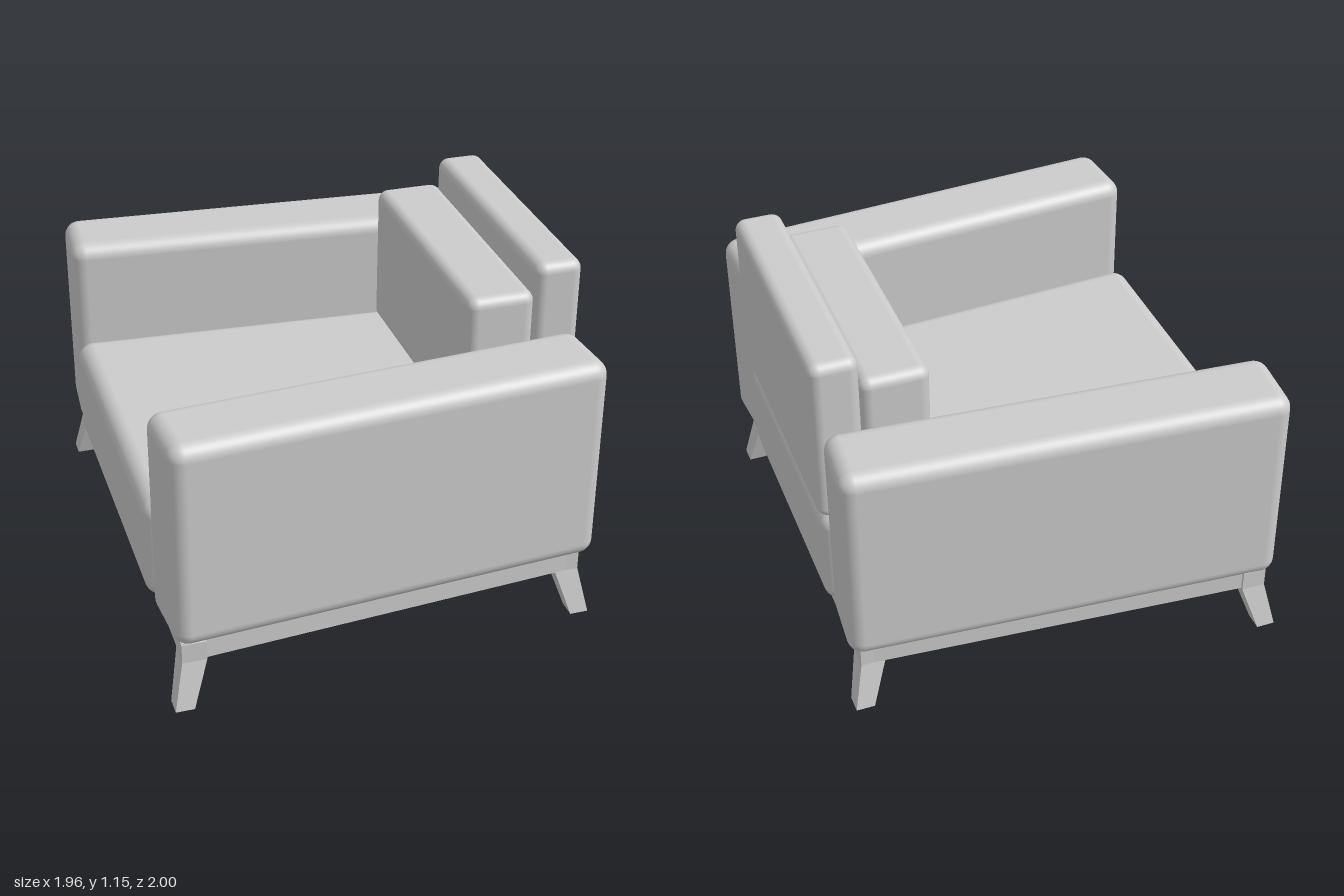
import * as THREE from 'three';
import { RoundedBoxGeometry } from 'three/addons/geometries/RoundedBoxGeometry.js';

const material = new THREE.MeshStandardMaterial({ color: 0xcccccc });
const SPLAY = 0.075; // the sides open towards the front by this angle

function add(parent, name, geometry, x = 0, y = 0, z = 0) {
  const mesh = new THREE.Mesh(geometry, material);
  mesh.name = name;
  mesh.position.set(x, y, z);
  parent.add(mesh);
  return mesh;
}

// Soft upholstered block spanning y0..y1 and z0..z1
function cushion(parent, name, width, y0, y1, z0, z1, radius, x = 0) {
  const geometry = new RoundedBoxGeometry(width, y1 - y0, z1 - z0, 5, radius);
  return add(parent, name, geometry, x, (y0 + y1) / 2, (z0 + z1) / 2);
}

// Narrow a geometry towards the back: half width h1 at z1, h0 at z0, for a unit of halfWidth
function taper(mesh, halfWidth, h0, h1, z0, z1) {
  const p = mesh.geometry.attributes.position;
  for (let i = 0; i < p.count; i++) {
    const t = (p.getZ(i) + mesh.position.z - z0) / (z1 - z0);
    p.setX(i, p.getX(i) * THREE.MathUtils.lerp(h0, h1, t) / halfWidth);
  }
}

// Frame outline, a trapezoid in plan
const FRONT = 0.62, BACK = -0.71;
const halfWidthAt = (z) => 0.66 + (z - BACK) * 0.0805;

function outline(Type, inset) {
  const zf = FRONT - inset, zb = BACK + inset;
  const f = halfWidthAt(zf) - inset, b = halfWidthAt(zb) - inset;
  return new Type([[-f, -zf], [f, -zf], [b, -zb], [-b, -zb]].map(([x, y]) => new THREE.Vector2(x, y)));
}

function slab(shape, depth) {
  return new THREE.ExtrudeGeometry(shape, { depth, bevelEnabled: false }).rotateX(-Math.PI / 2);
}

// Corner leg: upright within the frame, then splayed out and thinned to the foot
function legGeometry(sx, sz) {
  const z = sz > 0 ? FRONT : BACK;
  const hw = halfWidthAt(z);
  const levels = [
    { y: 0, out: 0.036, size: 0.06 },
    { y: 0.155, out: 0.003, size: 0.078 },
    { y: 0.222, out: 0.003, size: 0.078 },
  ];
  const geometry = new THREE.BoxGeometry(1, 1, 1, 1, 2, 1).toNonIndexed();
  const p = geometry.attributes.position;
  for (let i = 0; i < p.count; i++) {
    const { y, out, size } = levels[Math.round((p.getY(i) + 0.5) * 2)];
    const dx = p.getX(i) * sx > 0 ? out : out - size;
    const dz = p.getZ(i) * sz > 0 ? out : out - size;
    p.setXYZ(i, sx * (hw + dx), y, z + sz * dz);
  }
  geometry.computeVertexNormals();
  return geometry;
}

export function createModel() {
  const model = new THREE.Group();
  model.name = 'armchair';

  // The chair is built facing its own +z, then turned in place
  const chair = new THREE.Group();
  chair.name = 'chairBody';
  chair.rotation.y = THREE.MathUtils.degToRad(240);
  chair.position.set(-0.012, 0, 0.021);
  model.add(chair);

  // Base frame of four rails with a recessed bottom panel
  const rails = outline(THREE.Shape, 0);
  rails.holes.push(outline(THREE.Path, 0.06));
  add(chair, 'baseFrame', slab(rails, 0.07), 0, 0.155, 0);
  add(chair, 'bottomPanel', slab(outline(THREE.Shape, 0.05), 0.02), 0, 0.207, 0);

  // Legs and armrests on both sides
  for (const sx of [-1, 1]) {
    const side = sx > 0 ? 'left' : 'right';
    add(chair, side + 'FrontLeg', legGeometry(sx, 1));
    add(chair, side + 'BackLeg', legGeometry(sx, -1));
    const arm = cushion(chair, side + 'Armrest', 0.26, 0.225, 0.925, -0.747, 0.655, 0.05, sx * 0.624);
    arm.rotation.y = sx * SPLAY;
  }

  // Seat, narrowing between the arms
  const seat = cushion(chair, 'seatCushion', 1.08, 0.225, 0.582, -0.75, 0.67, 0.055);
  taper(seat, 0.54, 0.448, 0.545, -0.75, 0.67);

  // Backrest and the loose cushion in front of it
  cushion(chair, 'backrest', 0.89, 0.58, 1.15, -0.757, -0.603, 0.035);
  cushion(chair, 'backCushion', 0.885, 0.575, 1.06, -0.605, -0.385, 0.035);

  return model;
}
